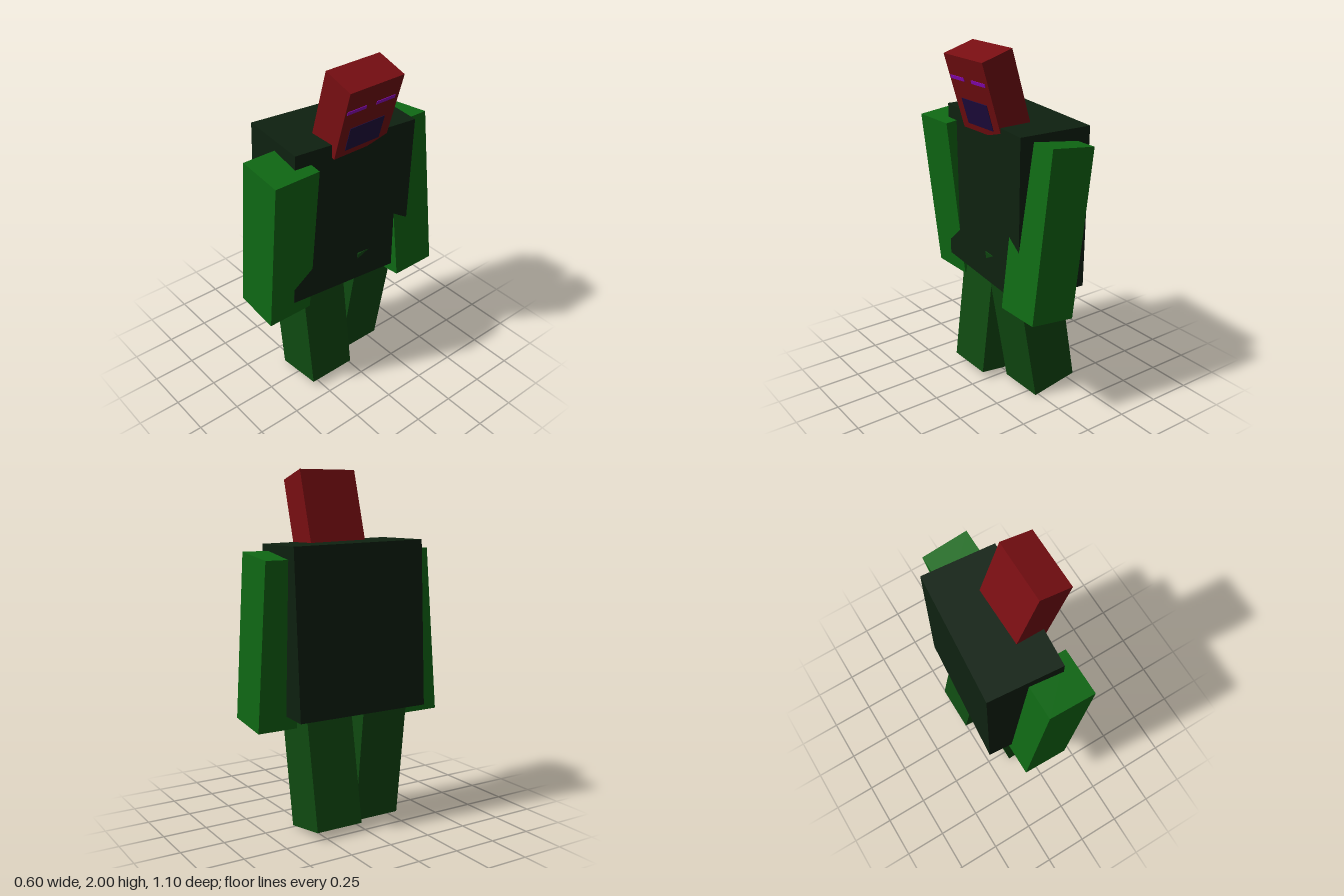
import * as THREE from 'three';

const DEG = Math.PI / 180;

function box(name, color, size, position, rotation = [0, 0, 0]) {
  const material = new THREE.MeshStandardMaterial({ color });
  const mesh = new THREE.Mesh(new THREE.BoxGeometry(...size), material);
  mesh.name = name;
  mesh.position.set(...position);
  mesh.rotation.set(...rotation);
  return mesh;
}

export function createModel() {
  const model = new THREE.Group();
  model.name = 'blockFigure';

  const red = 0x780e12, darkGreen = 0x0e2110, armGreen = 0x0f6914, legGreen = 0x0f4a11;
  const purple = 0x8f08c0, indigo = 0x200c40;

  // Torso, slightly twisted; the figure looks along +x
  model.add(box('torso', darkGreen, [0.427, 0.93, 0.765], [-0.05, 1.144, -0.015], [-0.029, -0.083, -0.012]));

  // Arms swinging in opposite directions
  model.add(box('rightArm', armGreen, [0.272, 0.946, 0.273], [0.023, 1.075, 0.412], [0, 0, -6.4 * DEG]));
  model.add(box('leftArm', armGreen, [0.272, 0.946, 0.272], [0.042, 1.075, -0.414], [0, 0, 7 * DEG]));

  // Legs mid-stride
  model.add(box('rightLeg', legGreen, [0.29, 0.86, 0.288], [-0.032, 0.456, 0.16], [0, 0, 6.9 * DEG]));
  model.add(box('leftLeg', legGreen, [0.284, 0.858, 0.284], [-0.045, 0.452, -0.172], [0, 0, -10 * DEG]));

  // Head leaning forward, with thin face panels on its +x side
  const head = new THREE.Group();
  head.name = 'head';
  head.position.set(0.1415, 1.7675, -0.025);
  head.rotation.z = -16.5 * DEG;
  head.add(box('skull', red, [0.193, 0.43, 0.352], [0, 0, 0]));
  const face = 0.0965;
  head.add(box('rightEye', purple, [0.006, 0.02, 0.123], [face, 0.087, 0.102]));
  head.add(box('leftEye', purple, [0.006, 0.02, 0.123], [face, 0.087, -0.088]));
  head.add(box('mouth', indigo, [0.006, 0.148, 0.23], [face, -0.103, 0]));
  model.add(head);

  return model;
}
